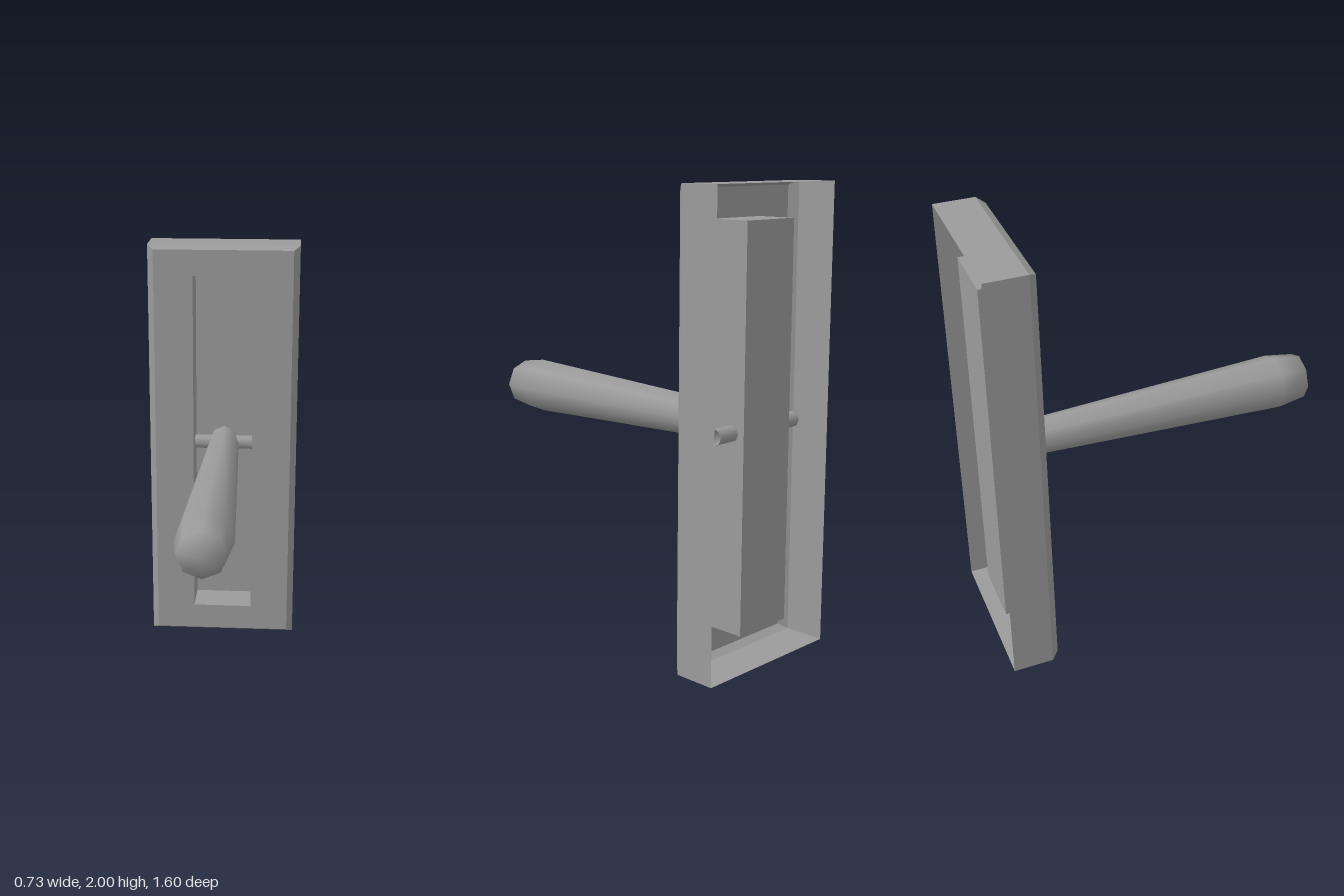
import * as THREE from 'three';

const AXIS_Y = 1.001;
const AXIS_Z = -0.7;
const GREY = 0x9b9b9b;

// Skin a series of rectangles [halfWidth, bottom, top, z], closing the last one
function loftRectangles(rings) {
  const loops = rings.map(([w, y0, y1, z]) => [
    [-w, y0, z], [w, y0, z], [w, y1, z], [-w, y1, z],
  ]);
  const points = [];
  const quad = (a, b, c, d) => points.push(...a, ...b, ...c, ...a, ...c, ...d);
  for (let i = 0; i < loops.length - 1; i++) {
    for (let k = 0; k < 4; k++) {
      const n = (k + 1) % 4;
      quad(loops[i][k], loops[i][n], loops[i + 1][n], loops[i + 1][k]);
    }
  }
  quad(...loops[loops.length - 1]);
  const geometry = new THREE.BufferGeometry();
  geometry.setAttribute('position', new THREE.Float32BufferAttribute(points, 3));
  geometry.computeVertexNormals();
  return geometry;
}

// Eight-sided lathe whose last profile point is a smoothly shaded tip
function roundTippedLathe(profile) {
  const points = profile.map(([r, y]) => new THREE.Vector2(r, y));
  const geometry = new THREE.LatheGeometry(points, 8);
  const normals = geometry.attributes.normal;
  for (let i = points.length - 1; i < normals.count; i += points.length) {
    normals.setXYZ(i, 0, 1, 0);
  }
  return geometry;
}

export function createModel() {
  const group = new THREE.Group();
  const add = (name, geometry, options = {}) => {
    const material = new THREE.MeshStandardMaterial({ color: GREY, ...options });
    const mesh = new THREE.Mesh(geometry, material);
    mesh.name = name;
    group.add(mesh);
    return mesh;
  };

  // Hollow wall plate, open at the back, with bevelled front and recessed slot
  add('slottedPlate', loftRectangles([
    [0.363, 0, 2, -0.8],
    [0.363, 0, 2, -0.617],
    [0.333, 0.02, 1.98, -0.583],
    [0.145, 0.147, 1.856, -0.583],
    [0.145, 0.147, 1.856, -0.765],
  ]), { side: THREE.DoubleSide, flatShading: true });

  // Pivot pin running across the slot and out through both its walls
  const pin = add('pivotPin',
    new THREE.CylinderGeometry(0.035, 0.035, 0.5, 8, 1, true),
    { side: THREE.DoubleSide });
  pin.rotation.z = Math.PI / 2;
  pin.position.set(0, AXIS_Y, AXIS_Z);

  // Lever, swelling toward a blunt grip
  const lever = add('leverHandle', roundTippedLathe([
    [0, -0.73], [0.073, -0.73], [0.125, 0.63], [0.105, 0.765], [0, 0.8],
  ]), { side: THREE.DoubleSide });
  lever.rotation.x = Math.PI / 2;
  lever.position.y = AXIS_Y;

  return group;
}
